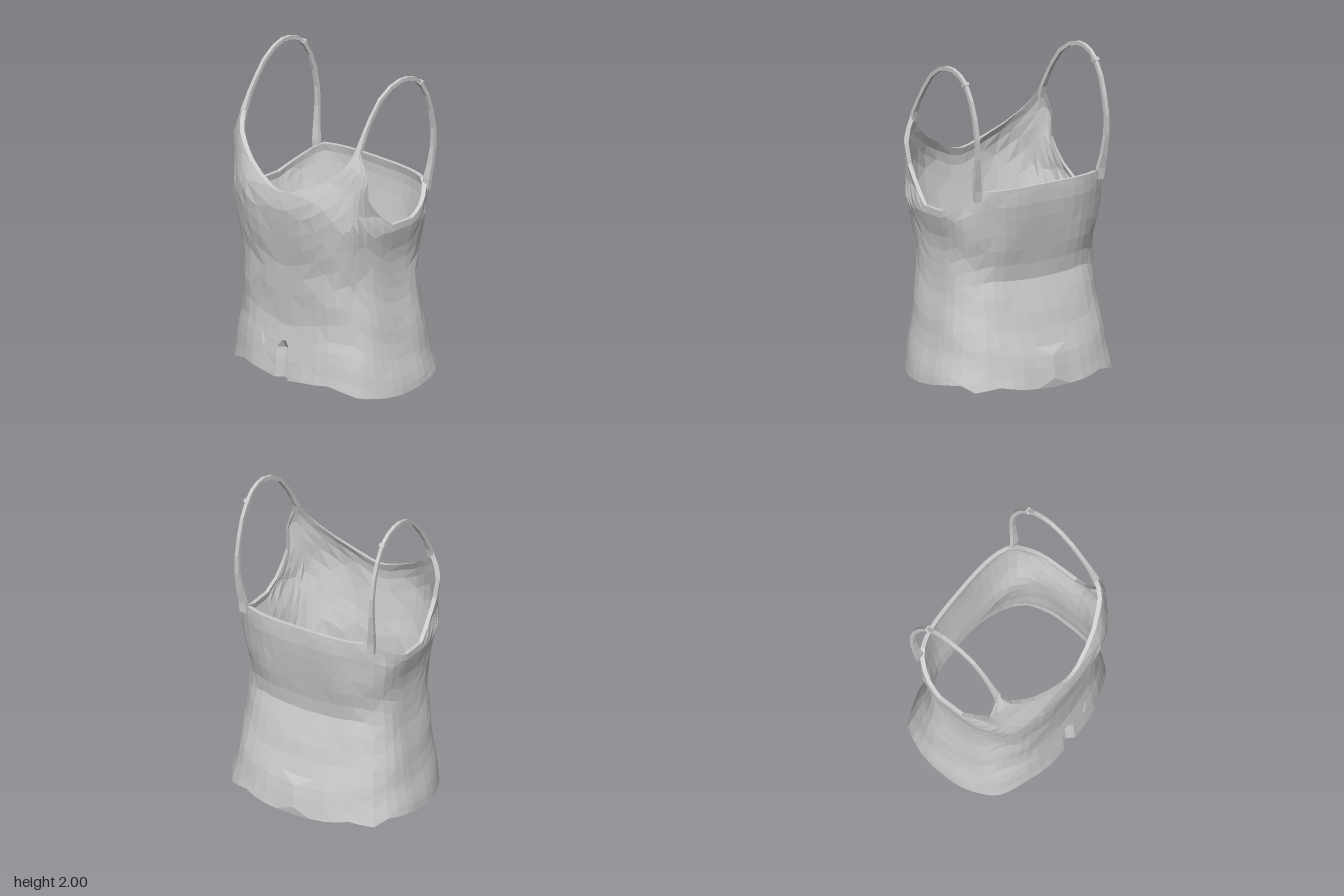
import * as THREE from 'three';

// Piecewise-linear lookup in [[key, value...], ...]
function lookup(table, key, col = 1) {
  if (key <= table[0][0]) return table[0][col];
  for (let i = 1; i < table.length; i++) {
    const a = table[i - 1], b = table[i];
    if (key <= b[0]) return a[col] + (b[col] - a[col]) * (key - a[0]) / (b[0] - a[0]);
  }
  return table[table.length - 1][col];
}

// Surface from rows of points; columns always wrap, rows wrap on request
function skin(rows, wrapRows) {
  const cols = rows[0].length, index = [];
  const n = wrapRows ? rows.length : rows.length - 1;
  for (let r = 0; r < n; r++) {
    for (let c = 0; c < cols; c++) {
      const a = r * cols + c, b = r * cols + (c + 1) % cols;
      const up = ((r + 1) % rows.length) * cols;
      const d = up + c, e = up + (c + 1) % cols;
      if ((r + c) % 2) index.push(a, b, e, a, e, d);
      else index.push(a, b, d, b, e, d);
    }
  }
  const g = new THREE.BufferGeometry();
  g.setAttribute('position', new THREE.Float32BufferAttribute(rows.flat(2), 3));
  g.setIndex(index);
  const flat = g.toNonIndexed();
  flat.computeVertexNormals();
  return flat;
}

// Height, half width, front depth, back depth
const PROFILE = [
  [0, 0.622, 0.475, 0.49], [0.06, 0.615, 0.472, 0.48], [0.2, 0.588, 0.462, 0.45],
  [0.4, 0.56, 0.43, 0.40], [0.6, 0.535, 0.44, 0.35], [0.68, 0.525, 0.445, 0.332],
  [0.8, 0.517, 0.45, 0.348], [0.95, 0.535, 0.475, 0.38], [1.1, 0.567, 0.497, 0.395],
  [1.2, 0.552, 0.508, 0.402], [1.3, 0.565, 0.49, 0.402], [1.39, 0.59, 0.46, 0.4],
  [1.46, 0.612, 0.435, 0.4], [1.55, 0.6, 0.42, 0.4], [1.65, 0.565, 0.4, 0.4],
];
// Angle from the front, edge height
const TOP = [
  [0, 1.29], [9, 1.355], [18, 1.41], [27, 1.475], [36, 1.535], [44, 1.6], [48, 1.64],
  [51, 1.64], [55, 1.54], [59, 1.45], [67, 1.32], [74, 1.25], [87, 1.11], [95, 1.11],
  [132, 1.235], [142, 1.26], [180, 1.262],
];
const HEM = [
  [0, 0.065], [9, 0.085], [27, 0.1], [40, 0.07], [52, 0.04], [74, 0.02], [90, 0.015],
  [100, 0.04], [119, 0.06], [132, 0.02], [152, 0.045], [166, 0.02], [180, 0.004],
];
const HALF_ANGLES = [0, 0.3, 1.8, 9, 18, 27, 36, 44, 48, 51, 55, 59, 67, 74, 81, 87, 95,
  100, 109, 119, 132, 142, 152, 160, 168, 175, 180];
const LEVELS = [0, 0.045, 0.1, 0.155, 0.2, 0.28, 0.36, 0.44, 0.52, 0.6, 0.68, 0.76, 0.84, 0.91, 0.96, 1];

function bodyPoint(angle, side, level, inside) {
  const last = LEVELS.length - 1, bottom = lookup(HEM, angle);
  const y = bottom + (lookup(TOP, angle) - bottom) * LEVELS[level];
  // Cloth is thicker along the stitched edges
  const inset = inside ? (level === 0 || level === last ? 0.024 : 0.015) : 0;
  const wrinkle = angle < 3 || level === last ? 0
    : 0.006 * Math.sin(angle * 0.11 + 7 * y) * Math.cos(angle * 0.05 - 13 * y);
  const t = angle * Math.PI / 180, front = angle <= 90;
  const power = 2 / (front ? 2.75 + 0.45 * Math.min(y, 1.3) : 2.95 + 0.3 * y);
  const grow = wrinkle - inset;
  const hx = lookup(PROFILE, y, 1) + grow;
  let hz = lookup(PROFILE, y, front ? 2 : 3) + grow;
  if (angle < 1 && level < 4) hz -= 0.042;                        // front hem pleat
  if (angle === 180 && level > 0 && level < 4) hz += 0.015;       // back fold
  const sx = Math.pow(Math.abs(Math.sin(t)), power);
  const sz = Math.pow(Math.abs(Math.cos(t)), power);
  return [side * hx * sx, y, (front ? 1 : -1) * hz * sz];
}

// Cloth body: outer wall up, inner wall back down, closed at hem and neckline
function bodyGeometry() {
  const mirrored = HALF_ANGLES.slice(1, -1).reverse();
  const ring = [...HALF_ANGLES.map(a => [a, 1]), ...mirrored.map(a => [a, -1])];
  const row = (level, inside) => ring.map(([a, s]) => bodyPoint(a, s, level, inside));
  const outer = LEVELS.map((_, i) => row(i, false));
  const inner = LEVELS.map((_, i) => row(i, true)).reverse();
  return skin([...outer, ...inner], true);
}

// Strap centre line: x, y, z, half width
const STRAP = [
  [0.482, 1.57, 0.307, 0.02], [0.48, 1.64, 0.287, 0.018], [0.481, 1.73, 0.24, 0.012],
  [0.48, 1.81, 0.187, 0.011], [0.482, 1.905, 0.11, 0.011], [0.486, 1.965, 0.02, 0.011],
  [0.49, 1.988, -0.06, 0.011], [0.49, 1.986, -0.12, 0.011], [0.489, 1.965, -0.185, 0.011],
  [0.486, 1.92, -0.24, 0.011], [0.486, 1.83, -0.295, 0.011], [0.484, 1.72, -0.333, 0.012],
  [0.484, 1.6, -0.356, 0.013], [0.482, 1.48, -0.357, 0.015], [0.474, 1.36, -0.342, 0.02],
  [0.462, 1.27, -0.327, 0.026], [0.455, 1.2, -0.325, 0.026],
];

function strapGeometry(side) {
  const rows = STRAP.map(([x, y, z, w], i) => {
    const a = STRAP[Math.max(i - 1, 0)], b = STRAP[Math.min(i + 1, STRAP.length - 1)];
    const dy = b[1] - a[1], dz = b[2] - a[2], len = Math.hypot(dy, dz);
    const ny = -dz / len * 0.012, nz = dy / len * 0.012;
    return [[-1, 1], [1, 1], [1, -1], [-1, -1]].map(
      ([u, v]) => [side * x + u * w, y + v * ny, z + v * nz]);
  });
  return skin(rows, false);
}

export function createModel() {
  const group = new THREE.Group();
  group.name = 'camisole';
  const cloth = new THREE.MeshStandardMaterial({ color: 0xcccccc, flatShading: true, side: THREE.DoubleSide });
  cloth.name = 'light grey cloth';
  const add = (name, geometry) => {
    const mesh = new THREE.Mesh(geometry, cloth);
    mesh.name = name;
    group.add(mesh);
    return mesh;
  };

  add('body', bodyGeometry());
  for (const side of [1, -1]) {
    const label = side > 0 ? 'left' : 'right';
    add(label + 'Strap', strapGeometry(side));
    // Strap length slider
    const slider = add(label + 'StrapSlider', new THREE.BoxGeometry(0.036, 0.022, 0.034));
    slider.position.set(side * 0.487, 1.922, -0.239);
    slider.rotation.x = 0.6;
    // Small creases beside the front pleat
    const crease = new THREE.BufferGeometry();
    const x = side * 0.16;
    crease.setAttribute('position', new THREE.Float32BufferAttribute(
      [x, 0.24, 0.455, x + side * 0.035, 0.33, 0.438, x, 0.33, 0.428], 3));
    crease.computeVertexNormals();
    add(label + 'FrontCrease', crease);
  }
  return group;
}
